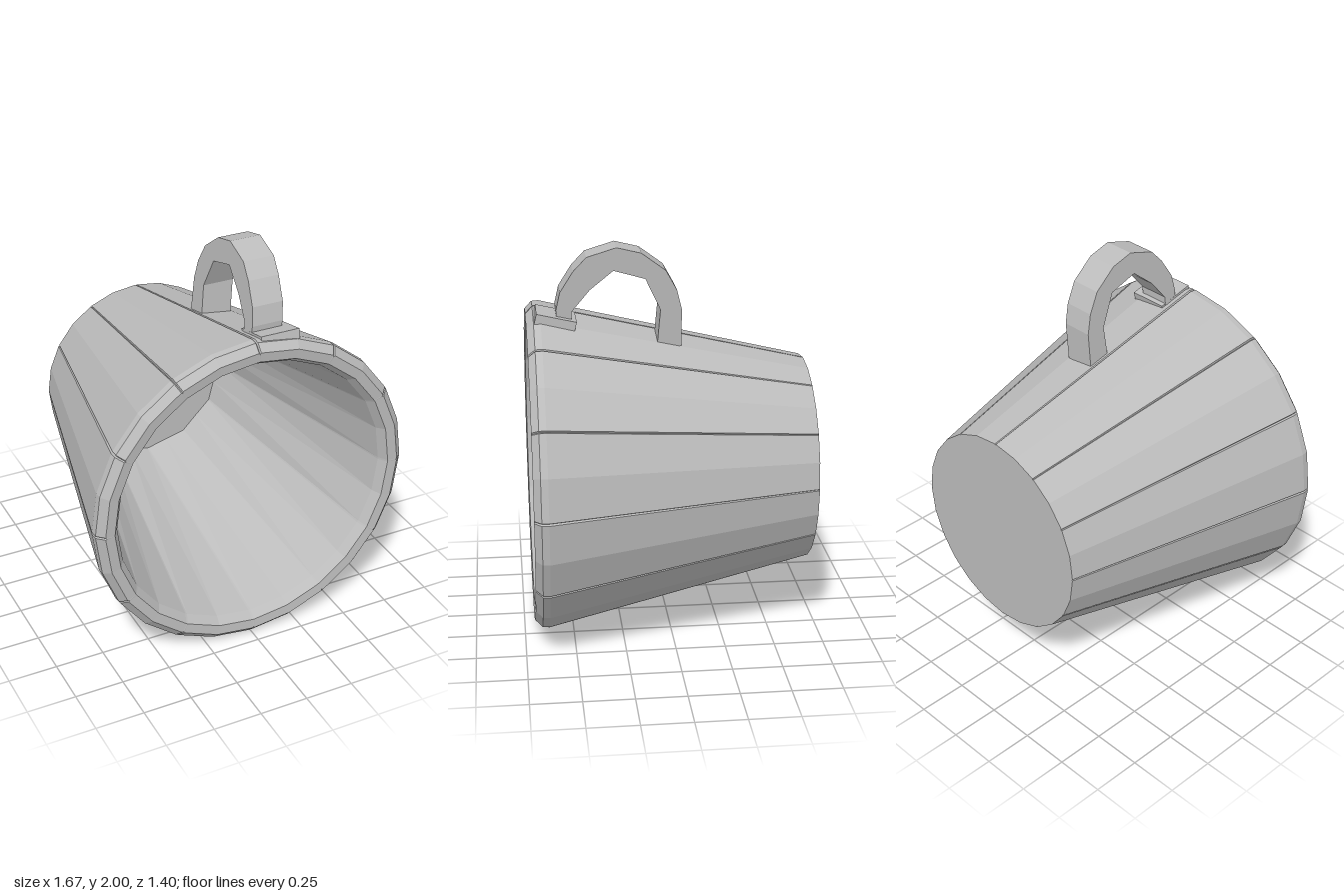
import * as THREE from 'three';

const CENTRE_Y = 0.835;
const STAVES = 12;

// Angles around the body: a narrow groove between staves, one bend mid-stave
function ringAngles() {
  const list = [];
  const step = (Math.PI * 2) / STAVES;
  for (let k = 0; k < STAVES; k++) {
    const a = k * step;
    list.push({ a: a - 0.007, kind: 'edge' }, { a, kind: 'groove' }, { a: a + 0.007, kind: 'edge' });
    list.push({ a: a + step / 2, kind: 'middle' });
  }
  return list;
}

// Joins rings along a closed profile; each ring is { r, z, groove, flat }
function ringSurface(profile) {
  const angles = ringAngles();
  const n = angles.length;
  const point = (ring, j) => {
    const { a, kind } = angles[j % n];
    let r = ring.r;
    if (kind === 'groove' && ring.groove) r -= ring.groove;
    if (kind === 'middle' && ring.flat) r *= Math.cos(Math.PI / STAVES);
    return [Math.cos(a) * r, CENTRE_Y + Math.sin(a) * r, ring.z];
  };
  const pos = [];
  for (let i = 0; i < profile.length - 1; i++) {
    const lo = profile[i], hi = profile[i + 1];
    for (let j = 0; j < n; j++) {
      const a = point(lo, j), b = point(lo, j + 1), c = point(hi, j + 1), d = point(hi, j);
      if (lo.r > 0) pos.push(...a, ...b, ...c);
      if (hi.r > 0) pos.push(...a, ...c, ...d);
    }
  }
  const geo = new THREE.BufferGeometry();
  geo.setAttribute('position', new THREE.Float32BufferAttribute(pos, 3));
  geo.computeVertexNormals();
  return geo;
}

export function createModel() {
  const group = new THREE.Group();
  const grey = new THREE.MeshStandardMaterial({ color: 0xbcbcbc });
  grey.name = 'plain grey';
  const add = (name, geo) => {
    const mesh = new THREE.Mesh(geo, grey);
    mesh.name = name;
    group.add(mesh);
    return mesh;
  };

  // Tapered outer wall with its closed back end
  add('outerStaves', ringSurface([
    { r: 0, z: -0.705 },
    { r: 0.525, z: -0.705, groove: 0.006 },
    { r: 0.835, z: 0.63, groove: 0.012 },
  ]));

  // Bevelled lip around the opening
  add('rim', ringSurface([
    { r: 0.835, z: 0.63, groove: 0.012 },
    { r: 0.832, z: 0.665, groove: 0.012 },
    { r: 0.795, z: 0.7, groove: 0.008 },
    { r: 0.745, z: 0.695 },
    { r: 0.715, z: 0.65 },
  ]));

  // Hollow inside, down to a twelve-sided floor
  add('innerWall', ringSurface([
    { r: 0.715, z: 0.65 },
    { r: 0.435, z: -0.58, flat: true },
  ]));
  add('innerFloor', ringSurface([
    { r: 0.435, z: -0.58, flat: true },
    { r: 0, z: -0.58 },
  ]));

  // Arched handle: side outline as (z, y), extruded across x
  const outline = [
    [0.55, 1.6], [0.555, 1.69], [0.535, 1.78], [0.47, 1.885], [0.405, 1.955], [0.26, 2.0],
    [0.14, 1.97], [0.02, 1.88], [-0.035, 1.78], [-0.06, 1.68], [-0.06, 1.49],
    [0.06, 1.49], [0.045, 1.68], [0.12, 1.84], [0.275, 1.885], [0.39, 1.79], [0.48, 1.68], [0.48, 1.6],
  ].map(([z, y]) => new THREE.Vector2(z, y));
  const handle = new THREE.ExtrudeGeometry(new THREE.Shape(outline), { depth: 0.16, bevelEnabled: false });
  handle.rotateY(-Math.PI / 2);
  handle.translate(0.19, 0, 0);
  // Lean the arch slightly sideways as it rises
  const p = handle.attributes.position;
  for (let i = 0; i < p.count; i++) p.setX(i, p.getX(i) + (p.getY(i) - 1.65) * 0.1);
  handle.computeVertexNormals();
  add('handle', handle);

  // Raised pad under the front foot of the handle
  const pad = add('handlePad', new THREE.BoxGeometry(0.2, 0.06, 0.2));
  pad.position.set(0.13, 1.632, 0.56);
  pad.rotation.x = -0.23;

  return group;
}
